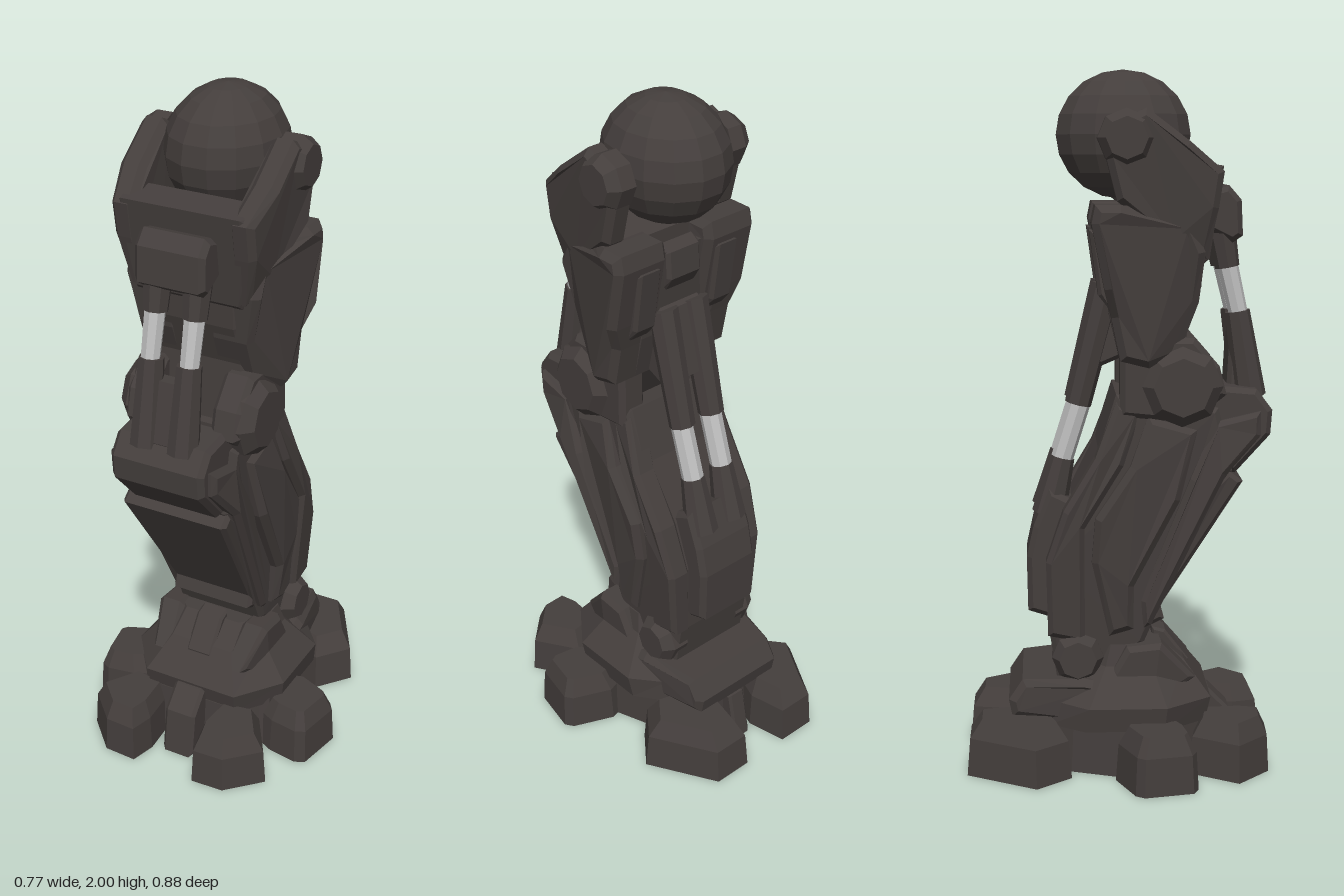
import * as THREE from 'three';

const armour = new THREE.MeshStandardMaterial({ color: 0x443e3c, flatShading: true });
armour.name = 'dark armour';
const steel = new THREE.MeshStandardMaterial({ color: 0xbebebe, flatShading: true });
steel.name = 'piston steel';

export function createModel() {
  const root = new THREE.Group();
  root.name = 'mechanicalLeg';

  function add(name, geometry, material = armour) {
    const mesh = new THREE.Mesh(geometry, material);
    mesh.name = name;
    root.add(mesh);
    return mesh;
  }

  // Side profile in (z, y), spanning x0..x1, bevelled; width(y, z) scales x over the profile
  function slab(name, pts, x0, x1, bevel = 0.015, width = null) {
    const shape = new THREE.Shape(pts.map(([z, y]) => new THREE.Vector2(z, y)));
    const g = new THREE.ExtrudeGeometry(shape, {
      depth: x1 - x0 - 2 * bevel, bevelEnabled: true, bevelThickness: bevel,
      bevelSize: bevel, bevelOffset: -bevel, bevelSegments: 1,
    });
    g.rotateY(-Math.PI / 2).translate(x1 - bevel, 0, 0);
    if (width) {
      const p = g.attributes.position;
      for (let i = 0; i < p.count; i++) p.setX(i, p.getX(i) * width(p.getY(i), p.getZ(i)));
      g.computeVertexNormals();
    }
    return add(name, g);
  }
  // The same slab on the left and right
  function pair(name, pts, x0, x1, bevel, width) {
    slab(name + 'Left', pts, x0, x1, bevel, width);
    slab(name + 'Right', pts, -x1, -x0, bevel, width);
  }

  // Stacked rings {y, pts: [[x, z], ...]}, closed at both ends
  function loft(name, rings) {
    const n = rings[0].pts.length, pos = [];
    let area = 0;
    rings[0].pts.forEach(([x, z], i) => {
      const [x2, z2] = rings[0].pts[(i + 1) % n];
      area += x * z2 - x2 * z;
    });
    const loops = rings.map(r => {
      const v = r.pts.map(([x, z]) => [x, r.y, z]);
      return area > 0 ? v.reverse() : v;
    });
    const tri = (a, b, c) => pos.push(...a, ...b, ...c);
    for (let k = 0; k + 1 < loops.length; k++) {
      for (let i = 0; i < n; i++) {
        const j = (i + 1) % n, a = loops[k], b = loops[k + 1];
        tri(a[i], a[j], b[j]);
        tri(a[i], b[j], b[i]);
      }
    }
    const top = loops[loops.length - 1], base = loops[0];
    for (let i = 1; i + 1 < n; i++) {
      tri(top[0], top[i], top[i + 1]);
      tri(base[0], base[i + 1], base[i]);
    }
    const g = new THREE.BufferGeometry();
    g.setAttribute('position', new THREE.Float32BufferAttribute(pos, 3));
    g.computeVertexNormals();
    return add(name, g);
  }

  // Rod between two (z, y) points at a fixed x
  function rod(name, x, [z0, y0], [z1, y1], r0, r1, material = armour) {
    const a = new THREE.Vector3(x, y0, z0), d = new THREE.Vector3(x, y1, z1).sub(a);
    const m = add(name, new THREE.CylinderGeometry(r1, r0, d.length(), 8), material);
    m.position.copy(a).addScaledVector(d, 0.5);
    m.quaternion.setFromUnitVectors(new THREE.Vector3(0, 1, 0), d.normalize());
  }

  // Disc on the x axis, chamfered on its outer face
  function disc(name, side, x0, x1, z, y, r, sides) {
    const w = x1 - x0, g = new THREE.LatheGeometry([[0, 0], [r, 0], [r, w * 0.6], [r * 0.72, w], [0, w]]
      .map(p => new THREE.Vector2(...p)), sides);
    const m = add(name, g);
    m.rotation.z = -side * Math.PI / 2;
    m.position.set(side * x0, y, z);
  }

  // Hip ball and its cup, which narrows towards the front and the bottom
  const ball = add('hipBall', new THREE.SphereGeometry(1, 14, 10));
  ball.scale.set(0.168, 0.18, 0.194);
  ball.position.set(0, 1.82, 0.016);
  const cupTaper = (y, z) => (z > 0.22 ? 0.9 : 1) * (y < 1.55 ? 0.88 : 1);
  slab('hipCup', [[0.19, 1.75], [0.285, 1.735], [0.27, 1.63], [0.25, 1.48], [0.2, 1.44], [0, 1.5], [0, 1.62], [0.06, 1.66]],
    -0.215, 0.215, 0.02, cupTaper);
  pair('cupArm', [[0.19, 1.8], [0.285, 1.72], [0.27, 1.62], [0.24, 1.48], [0.14, 1.52], [-0.01, 1.64], [-0.04, 1.76], [-0.02, 1.85], [0.07, 1.89]],
    0.155, 0.235, 0.018, cupTaper);

  // Thigh
  slab('thighCore', [[0.24, 1.58], [0.23, 1.4], [0.19, 1.28], [0.2, 1.1], [0.08, 1.04], [0.0, 1.2], [-0.03, 1.33], [-0.05, 1.58]],
    -0.15, 0.15, 0.02);
  pair('thighPanel', [[0.1, 1.62], [0.2, 1.58], [0.235, 1.5], [0.22, 1.36], [0.17, 1.23], [0.08, 1.18], [0.0, 1.2], [-0.025, 1.32], [-0.045, 1.4], [-0.08, 1.58], [-0.07, 1.63], [0, 1.63]],
    0.07, 0.25, 0.02, (y, z) => (z > 0.08 ? 0.82 : 1) * (y > 1.37 ? 1 : 0.87));
  pair('thighRib', [[-0.04, 1.56], [-0.085, 1.56], [-0.06, 1.38], [-0.02, 1.33]], 0.1, 0.18, 0.01);
  slab('thighBackBlock', [[-0.03, 1.6], [-0.06, 1.58], [-0.065, 1.5], [-0.04, 1.46]], -0.06, 0.06, 0.01);
  pair('kneeLink', [[0.21, 1.26], [0.28, 1.18], [0.3, 1.1], [0.2, 1.02], [0.0, 1.04], [0.0, 1.22], [0.1, 1.26]],
    0.09, 0.18, 0.015);
  slab('thighFrontBlock', [[0.24, 1.66], [0.31, 1.68], [0.345, 1.64], [0.35, 1.54], [0.32, 1.52], [0.24, 1.56]], -0.105, 0.105, 0.015);

  // Knee cap and shin
  slab('kneeCap', [[0.28, 1.12], [0.39, 1.11], [0.435, 1.05], [0.43, 0.98], [0.33, 0.87], [0.2, 0.9], [0.2, 1.08]],
    -0.145, 0.145, 0.015);
  slab('shinCore', [[0.28, 1.06], [-0.01, 1.1], [-0.06, 0.94], [-0.15, 0.76], [-0.2, 0.62], [-0.2, 0.4], [-0.18, 0.27], [-0.06, 0.27], [0.07, 0.37], [0.1, 0.44], [0.24, 0.73], [0.32, 0.88]],
    -0.165, 0.165, 0.015, y => (y < 0.5 ? 0.88 : 1));
  const shinTaper = y => (y > 0.95 ? 0.9 : y > 0.7 ? 1 : y > 0.5 ? 0.95 : 0.87);
  pair('shinFrontArmour', [[0.4, 1.05], [0.4, 0.98], [0.3, 0.87], [0.09, 0.43], [0.07, 0.42], [0.06, 0.5], [0.2, 0.86], [0.27, 1.02]],
    0.13, 0.185, 0.015, shinTaper);
  pair('shinSideArmour', [[0.22, 1.0], [0.08, 1.04], [0.03, 0.9], [-0.07, 0.75], [-0.08, 0.62], [-0.03, 0.4], [0.04, 0.42], [0.04, 0.55], [0.17, 0.8]],
    0.14, 0.2, 0.018, shinTaper);
  pair('shinRearArmour', [[0.06, 1.05], [-0.01, 1.08], [-0.07, 0.92], [-0.16, 0.77], [-0.21, 0.62], [-0.205, 0.4], [-0.1, 0.38], [-0.1, 0.72], [0.01, 0.9]],
    0.11, 0.19, 0.015, shinTaper);
  slab('shinPlate', [[0.35, 0.85], [0.31, 0.88], [0.27, 0.84], [0.07, 0.46], [0.09, 0.42], [0.13, 0.44], [0.12, 0.48]],
    -0.165, 0.165, 0.012, y => (y > 0.7 ? 1 : 0.8));
  slab('calfPlate', [[-0.12, 0.78], [-0.2, 0.82], [-0.245, 0.71], [-0.265, 0.62], [-0.262, 0.46], [-0.2, 0.44], [-0.15, 0.5]],
    -0.105, 0.105, 0.015);

  // Front and rear pistons, joint discs
  for (const side of [1, -1]) {
    const s = side > 0 ? 'Left' : 'Right';
    rod('frontPistonMount' + s, side * 0.06, [0.29, 1.56], [0.31, 1.45], 0.042, 0.035);
    rod('frontPistonRod' + s, side * 0.06, [0.31, 1.46], [0.345, 1.31], 0.03, 0.027, steel);
    rod('frontPistonSleeve' + s, side * 0.058, [0.34, 1.325], [0.38, 1.08], 0.036, 0.046);
    rod('rearPistonSleeve' + s, side * 0.055, [-0.03, 1.4], [-0.115, 1.06], 0.045, 0.038);
    rod('rearPistonRod' + s, side * 0.055, [-0.105, 1.08], [-0.165, 0.89], 0.032, 0.032, steel);
    rod('rearPistonMount' + s, side * 0.055, [-0.16, 0.905], [-0.2, 0.74], 0.035, 0.05);
    disc('hipDisc' + s, side, 0.17, 0.25, 0.016, 1.81, 0.08, 8);
    disc('kneeDisc' + s, side, 0.13, 0.21, 0.175, 1.125, 0.115, 8);
    disc('ankleDisc' + s, side, 0.1, 0.185, -0.12, 0.335, 0.075, 8);
  }
  slab('frontPistonYoke', [[0.32, 1.27], [0.36, 1.27], [0.4, 1.1], [0.38, 1.06], [0.31, 1.08]], -0.07, 0.07, 0.012);
  slab('rearPistonYoke', [[-0.02, 1.42], [-0.05, 1.4], [-0.1, 1.2], [-0.05, 1.17], [0.02, 1.2]], -0.08, 0.08, 0.012);

  // Ankle skirt, heel block and front clasp
  const skirt = (x, zf, zb) => [[-x, zf * 0.5], [-x * 0.6, zf], [x * 0.6, zf], [x, zf * 0.5], [x, zb * 0.5], [x * 0.7, zb], [-x * 0.7, zb], [-x, zb * 0.5]];
  loft('ankleSkirt', [
    { y: 0.14, pts: skirt(0.24, 0.25, -0.2) }, { y: 0.21, pts: skirt(0.25, 0.265, -0.18) },
    { y: 0.31, pts: skirt(0.165, 0.19, -0.08) }, { y: 0.37, pts: skirt(0.15, 0.12, -0.05) },
  ]);
  pair('ankleGuard', [[0.12, 0.38], [0.02, 0.37], [-0.02, 0.3], [-0.06, 0.19], [0.1, 0.2], [0.22, 0.27]], 0.1, 0.185, 0.015,
    (y, z) => (z > 0.15 ? 0.85 : 1));
  slab('heelBlock', [[-0.05, 0.27], [-0.1, 0.28], [-0.28, 0.27], [-0.32, 0.21], [-0.31, 0.16], [-0.05, 0.14]], -0.2, 0.2, 0.02,
    (y, z) => (z < -0.2 ? 0.82 : 1));
  slab('ankleClasp', [[0.1, 0.39], [0.14, 0.38], [0.21, 0.29], [0.2, 0.25], [0.1, 0.25]], -0.043, 0.043, 0.008);
  slab('toeBridge', [[0.2, 0.22], [0.27, 0.2], [0.33, 0.14], [0.35, 0], [0.15, 0]], -0.05, 0.05, 0.01);
  slab('heelBridge', [[-0.2, 0.17], [-0.31, 0.15], [-0.34, 0], [-0.15, 0]], -0.03, 0.03, 0.008);

  // Foot base and six toes
  const base = [[-0.12, 0.27], [0.12, 0.27], [0.2, 0.19], [0.23, 0.17], [0.23, 0], [0.18, -0.14], [0.06, -0.29], [-0.06, -0.29], [-0.18, -0.14], [-0.23, 0], [-0.23, 0.17], [-0.2, 0.19]];
  loft('footBase', [{ y: 0, pts: base }, { y: 0.16, pts: base.map(([x, z]) => [x * 0.95, z * 0.95]) }]);
  const toes = {
    frontToe: [[0.1, 0.435], [0.2, 0.43], [0.295, 0.335], [0.21, 0.2], [0.09, 0.22], [0.08, 0.36]],
    sideToe: [[0.2, 0.0], [0.25, -0.015], [0.37, 0.035], [0.387, 0.06], [0.36, 0.2], [0.33, 0.215], [0.24, 0.2], [0.2, 0.18]],
    rearToe: [[0.075, -0.44], [0.195, -0.44], [0.31, -0.24], [0.23, -0.14], [0.1, -0.18], [0.05, -0.32]],
  };
  for (const [name, pts] of Object.entries(toes)) {
    const cx = pts.reduce((t, p) => t + p[0], 0) / pts.length;
    const cz = pts.reduce((t, p) => t + p[1], 0) / pts.length;
    for (const side of [1, -1]) {
      const ring = (y, k) => ({ y, pts: pts.map(([x, z]) => [side * (cx + (x - cx) * k), cz + (z - cz) * k]) });
      loft(name + (side > 0 ? 'Left' : 'Right'), [ring(0, 1), ring(0.11, 0.94), ring(0.165, 0.7)]);
    }
  }
  return root;
}
